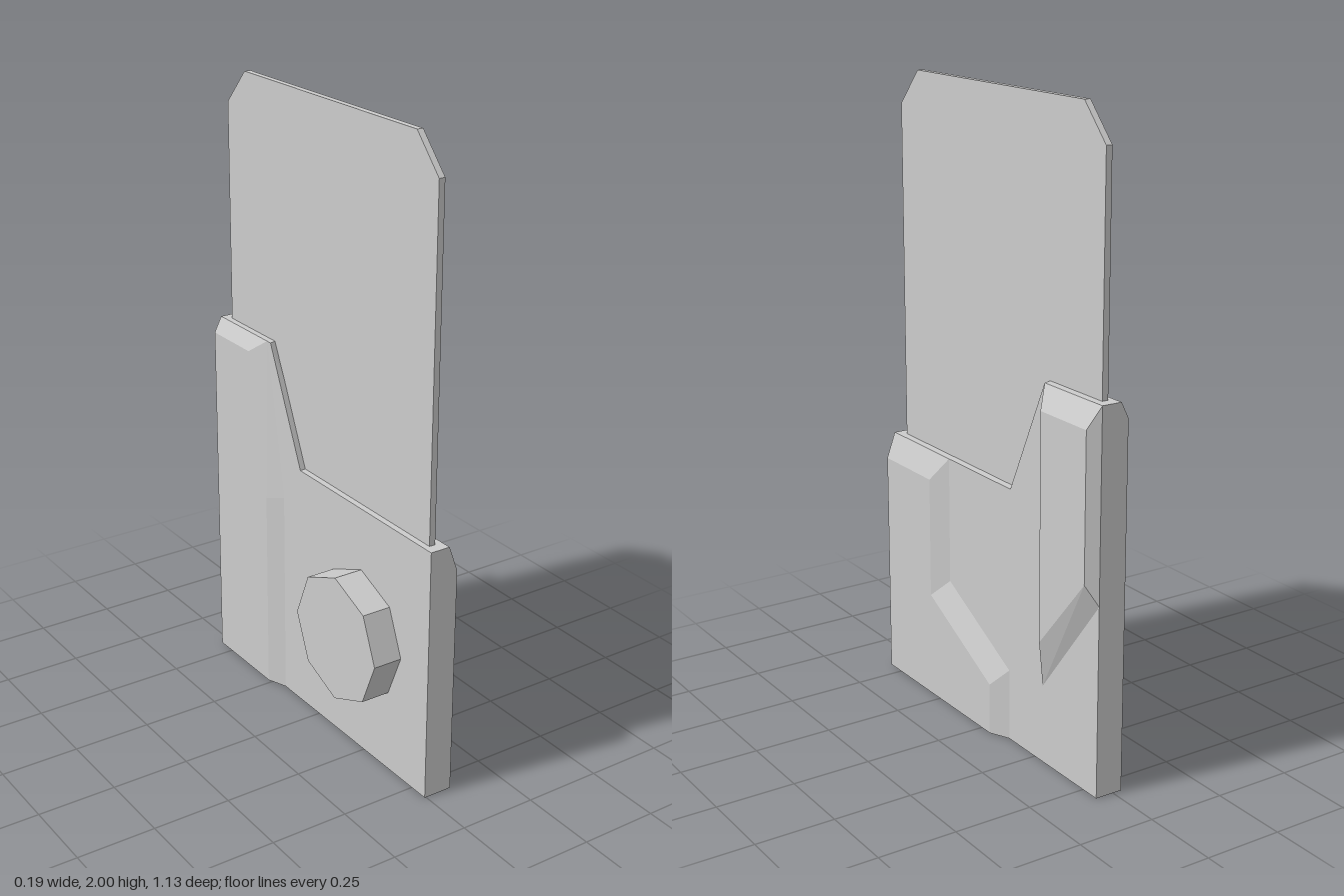
import * as THREE from 'three';

const material = new THREE.MeshStandardMaterial({ color: 0xcccccc, flatShading: true });

// Solid between two matching [z, y] outlines, lying at x0 and x1
function loft(name, base, top, x0, x1) {
  const flat = base.map(([z, y]) => new THREE.Vector2(-z, y));
  if (THREE.ShapeUtils.isClockWise(flat)) {
    return loft(name, [...base].reverse(), [...top].reverse(), x0, x1);
  }
  const b = base.map(([z, y]) => [x0, y, z]);
  const t = top.map(([z, y]) => [x1, y, z]);
  const pos = [];
  const tri = (p, q, r) => (x1 > x0 ? pos.push(...p, ...q, ...r) : pos.push(...p, ...r, ...q));
  b.forEach((p, i) => {
    const j = (i + 1) % b.length;
    tri(p, b[j], t[j]);
    tri(p, t[j], t[i]);
  });
  for (const [i, j, k] of THREE.ShapeUtils.triangulateShape(flat, [])) {
    tri(t[i], t[j], t[k]);
    tri(b[i], b[k], b[j]);
  }
  const geometry = new THREE.BufferGeometry();
  geometry.setAttribute('position', new THREE.Float32BufferAttribute(pos, 3));
  geometry.computeVertexNormals();
  const mesh = new THREE.Mesh(geometry, material);
  mesh.name = name;
  return mesh;
}

export function createModel() {
  const model = new THREE.Group();
  model.name = 'holderWithPlate';

  // Thin upright plate with clipped top corners
  const plate = [[0.53, 0.1], [0.53, 1.89], [0.43, 2], [-0.43, 2], [-0.53, 1.89], [-0.53, 0.1]];
  model.add(loft('plate', plate, plate, 0.015, 0.035));

  // Holder body, stepped up towards the back
  const body = (slopeTop, slopeFoot) => [[0.565, 0], [0.565, 0.82], [slopeFoot, 0.82],
    [slopeTop, 1.19], [-0.565, 1.19], [-0.565, 0]];
  model.add(loft('holderBody', body(-0.27, -0.105), body(-0.29, -0.115), -0.005, 0.06));

  // Bevelled stepped panel on the left face
  model.add(loft('frontPanel',
    [[0.565, 0], [0.565, 0.82], [0.23, 0.82], [0.23, 0.41], [-0.11, 0.23], [-0.11, 0]],
    [[0.565, 0], [0.565, 0.737], [0.3, 0.737], [0.3, 0.345], [-0.045, 0.165], [-0.045, 0]],
    0.06, 0.09));

  // Bevelled slanted block on the left face
  model.add(loft('slantedBlock',
    [[-0.29, 0.25], [-0.29, 1.19], [-0.565, 1.19], [-0.565, 0.6]],
    [[-0.32, 0.41], [-0.32, 1.12], [-0.54, 1.12], [-0.54, 0.665]],
    0.06, 0.095));

  // Raised strip along the back of the right face
  model.add(loft('backStrip',
    [[-0.565, 0], [-0.565, 1.19], [-0.29, 1.19], [-0.2, 0.69], [-0.2, 0]],
    [[-0.565, 0], [-0.565, 1.14], [-0.36, 1.14], [-0.265, 0.67], [-0.265, 0]],
    -0.005, -0.03));

  // Octagonal knob on the right face
  const knob = new THREE.Mesh(new THREE.CylinderGeometry(0.207, 0.207, 0.105, 8), material);
  knob.name = 'knob';
  knob.rotation.z = Math.PI / 2;
  knob.position.set(-0.0475, 0.412, 0.225);
  model.add(knob);

  return model;
}
